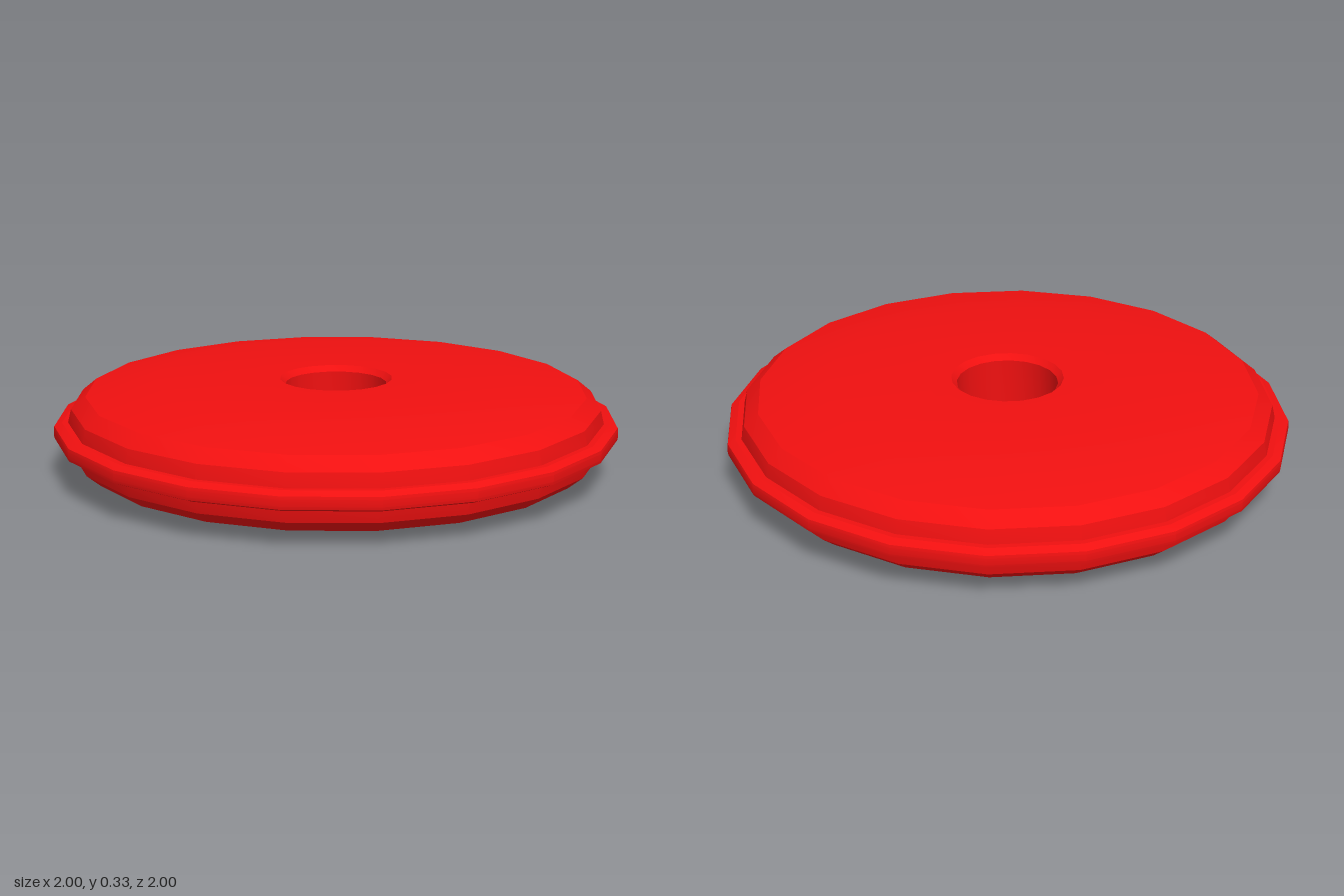
import * as THREE from 'three';
import { toCreasedNormals } from 'three/addons/utils/BufferGeometryUtils.js';

const SIDES = 20;
const HEIGHT = 0.327;

// Lathe a lower half-profile [radius, y] together with its mirror above mid-height.
function mirroredLathe(name, lower, closed, material) {
  const upper = lower.map(([r, y]) => [r, HEIGHT - y]).reverse();
  const profile = [...lower, ...upper];
  if (closed) profile.push(lower[0]);
  const points = profile.map(([r, y]) => new THREE.Vector2(r, y));
  const geometry = toCreasedNormals(new THREE.LatheGeometry(points, SIDES), 0.35);
  const mesh = new THREE.Mesh(geometry, material);
  mesh.name = name;
  return mesh;
}

export function createModel() {
  const group = new THREE.Group();
  group.name = 'disc';
  const red = new THREE.MeshStandardMaterial({ color: 0xf01010 });

  // Flat-faced disc with bevelled centre hole and rounded shoulders
  group.add(mirroredLathe('discBody', [
    [0.18, 0.02], [0.2, 0], [0.645, 0], [0.887, 0.04], [0.938, 0.082], [0.95, 0.132],
  ], true, red));

  // Narrow raised band around the edge
  group.add(mirroredLathe('edgeBand', [
    [0.93, 0.13], [0.97, 0.13], [0.998, 0.142], [1, 0.152],
  ], false, red));

  return group;
}
